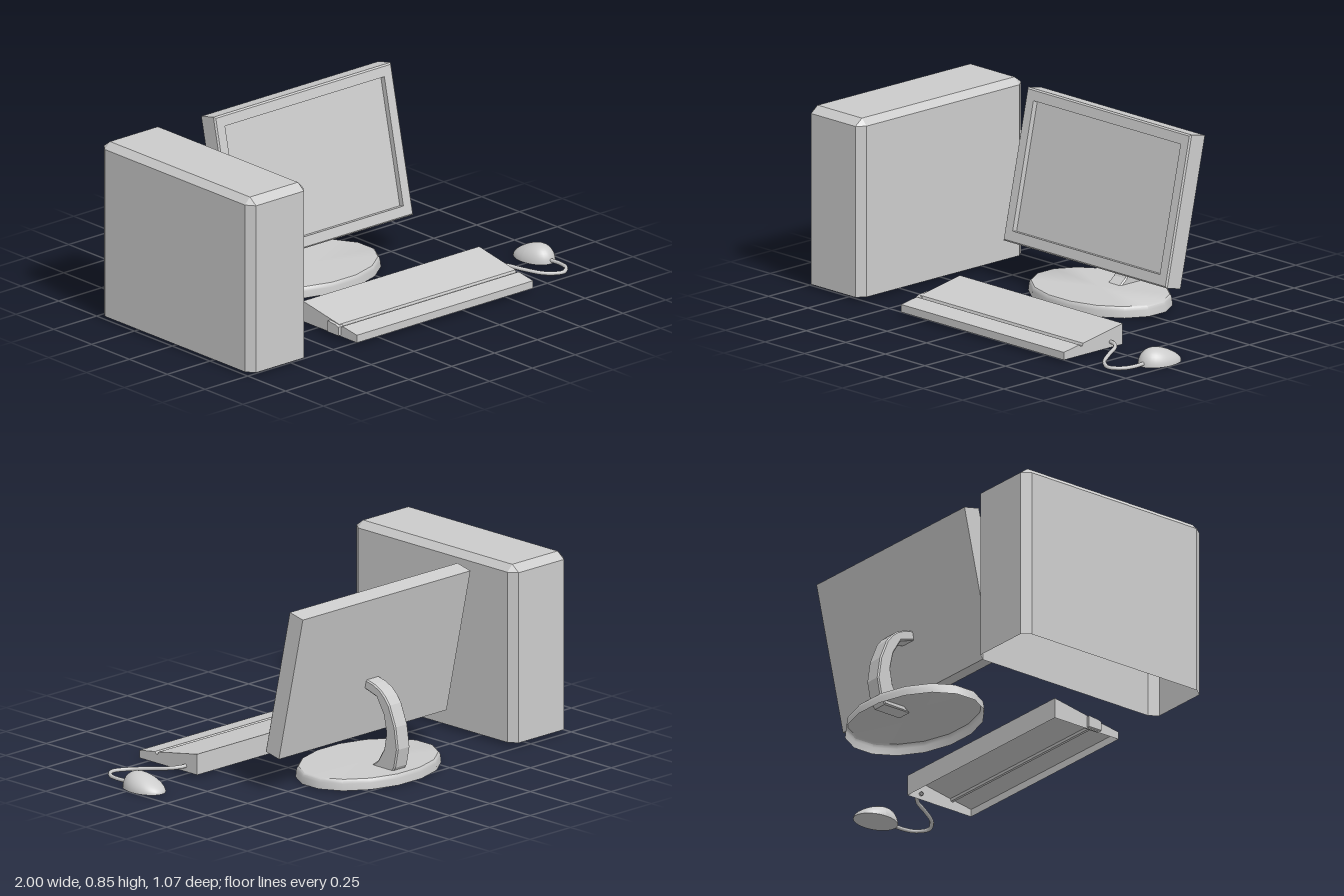
import * as THREE from 'three';
import { toCreasedNormals } from 'three/addons/utils/BufferGeometryUtils.js';

const grey = new THREE.MeshStandardMaterial({ color: 0xcccccc, side: THREE.DoubleSide });

function part(name, geometry, parent) {
  const mesh = new THREE.Mesh(geometry, grey);
  mesh.name = name;
  parent.add(mesh);
  return mesh;
}

// Skin a stack of equal-length rings (each counter-clockwise in x,y) and cap the last one.
function loft(rings) {
  const pos = [];
  const n = rings[0].length;
  for (let r = 0; r < rings.length - 1; r++) {
    for (let i = 0; i < n; i++) {
      const j = (i + 1) % n;
      const [a, b, c, d] = [rings[r][i], rings[r][j], rings[r + 1][j], rings[r + 1][i]];
      pos.push(...a, ...b, ...c, ...a, ...c, ...d);
    }
  }
  const top = rings[rings.length - 1];
  for (let i = 1; i < n - 1; i++) pos.push(...top[0], ...top[i], ...top[i + 1]);
  const g = new THREE.BufferGeometry();
  g.setAttribute('position', new THREE.Float32BufferAttribute(pos, 3));
  g.computeVertexNormals();
  return g;
}

// Extrude a side profile of [z, y] points along x.
function extrudeSide(points, x0, width, bevel = 0) {
  const shape = new THREE.Shape(points.map(([z, y]) => new THREE.Vector2(-z, y)));
  const g = new THREE.ExtrudeGeometry(shape, {
    depth: width - 2 * bevel, bevelEnabled: bevel > 0,
    bevelSize: bevel, bevelThickness: bevel, bevelOffset: -bevel, bevelSegments: 1,
  });
  return g.rotateY(Math.PI / 2).translate(x0 + bevel, 0, 0);
}

// Remove the flat underside of a non-indexed geometry, leaving an open shell.
function openBottom(g) {
  g.computeBoundingBox();
  const limit = g.boundingBox.min.y + 1e-4;
  const p = g.attributes.position;
  const keep = [];
  for (let i = 0; i < p.count; i += 3) {
    if ([0, 1, 2].every((k) => p.getY(i + k) < limit)) continue;
    for (let k = 0; k < 3; k++) keep.push(p.getX(i + k), p.getY(i + k), p.getZ(i + k));
  }
  const out = new THREE.BufferGeometry();
  out.setAttribute('position', new THREE.Float32BufferAttribute(keep, 3));
  out.computeVertexNormals();
  return out;
}

function buildTower(root) {
  // Chamfered box, open below; local z is up until rotated
  const w = 0.17, d = 0.503, cx = 0.03, cz = 0.04;
  const ring = (z) => [
    [w, -d + cz, z], [w, d - cz, z], [w - cx, d, z], [-w + cx, d, z],
    [-w, d - cz, z], [-w, -d + cz, z], [-w + cx, -d, z], [w - cx, -d, z],
  ];
  const lid = ring(0.825).map(([x, y, z]) => [Math.sign(x) * (w - cx), Math.sign(y) * (d - cz), z]);
  const g = loft([ring(0.015), ring(0.795), lid]).rotateX(-Math.PI / 2);
  part('computerTower', g, root).position.set(-0.83, 0, 0.0175);
}

function buildMonitor(root) {
  const monitor = new THREE.Group();
  monitor.name = 'monitor';
  root.add(monitor);

  // Tilted panel with a bevelled front edge and recessed screen
  const w = 0.5175, h = 0.3435, t = 0.0445, bevel = 0.007, frame = 0.052;
  const rect = (inset, z) => {
    const x = w - inset, y = h - inset;
    return [[x, -y, z], [x, y, z], [-x, y, z], [-x, -y, z]];
  };
  const centre = Array.from({ length: 4 }, () => [0, 0, -t]);
  const panel = part('screenPanel', loft([
    centre, rect(0, -t), rect(0, t - bevel), rect(bevel, t),
    rect(frame, t), rect(frame, t - 0.025),
  ]), monitor);
  panel.position.set(0.0425, 0.507, -0.284);
  panel.rotation.x = -0.218;

  // Curved arm
  const outer = [[-0.29, 0.436], [-0.315, 0.434], [-0.358, 0.424], [-0.397, 0.406], [-0.428, 0.38],
    [-0.454, 0.346], [-0.491, 0.254], [-0.506, 0.154], [-0.489, 0.069], [-0.465, 0.035]];
  const inner = [[-0.325, 0.035], [-0.349, 0.054], [-0.383, 0.08], [-0.42, 0.14], [-0.434, 0.217],
    [-0.417, 0.297], [-0.374, 0.369], [-0.303, 0.391], [-0.28, 0.395]];
  part('standArm', extrudeSide([...outer, ...inner], 0, 0.08, 0.006), monitor);

  // Oval foot, hollow underneath
  const profile = [[1, 0.005], [0.99, 0.035], [0.98, 0.048], [0.96, 0.054], [0, 0.054]]
    .map(([x, y]) => new THREE.Vector2(x, y));
  const foot = new THREE.LatheGeometry(profile, 16, Math.PI / 16);
  foot.scale(0.366, 1, 0.264);
  part('standFoot', toCreasedNormals(foot, 0.7), monitor).position.set(0.03, 0, -0.276);
}

function buildKeyboard(root) {
  const keyboard = new THREE.Group();
  keyboard.name = 'keyboard';
  root.add(keyboard);

  // Wedge with a groove across the top
  const profile = [[0.531, 0.014], [0.531, 0.049], [0.436, 0.064], [0.428, 0.054],
    [0.418, 0.056], [0.414, 0.067], [0.174, 0.109], [0.174, 0.014]];
  part('keyboardShell', openBottom(extrudeSide(profile, -0.39, 1.03)), keyboard);

  // Small tab on the end
  const tab = [[0.425, 0.02], [0.425, 0.06], [0.405, 0.067], [0.355, 0.072], [0.355, 0.02]];
  part('keyboardTab', extrudeSide(tab, -0.405, 0.03), keyboard);
}

function buildMouse(root) {
  const mouse = new THREE.Group();
  mouse.name = 'mouse';
  root.add(mouse);

  // Dome that rises toward the front
  const dome = new THREE.SphereGeometry(1, 32, 12, 0, Math.PI * 2, 0, Math.PI / 2);
  const p = dome.attributes.position;
  for (let i = 0; i < p.count; i++) {
    const z = p.getZ(i);
    p.setXYZ(i, p.getX(i) * 0.077, p.getY(i) * 0.07 * (1 + 0.4 * z), z * 0.11);
  }
  dome.computeVertexNormals();
  part('mouseBody', dome, mouse).position.set(0.921, 0.001, 0.22);

  // Flat underside
  const base = new THREE.CircleGeometry(1, 32).rotateX(Math.PI / 2).scale(0.077, 1, 0.11);
  part('mouseUnderside', base, mouse).position.set(0.921, 0.001, 0.22);

  // Cable looping back to the keyboard
  const path = new THREE.CatmullRomCurve3([
    [0.63, 0.04, 0.246], [0.665, 0.039, 0.252], [0.705, 0.035, 0.283], [0.74, 0.027, 0.35],
    [0.794, 0.018, 0.433], [0.865, 0.016, 0.472], [0.916, 0.016, 0.435], [0.93, 0.016, 0.38],
    [0.925, 0.016, 0.31],
  ].map((v) => new THREE.Vector3(...v)));
  part('mouseCable', new THREE.TubeGeometry(path, 48, 0.009, 8), mouse);
}

export function createModel() {
  const root = new THREE.Group();
  root.name = 'desktopComputer';
  buildTower(root);
  buildMonitor(root);
  buildKeyboard(root);
  buildMouse(root);
  return root;
}
